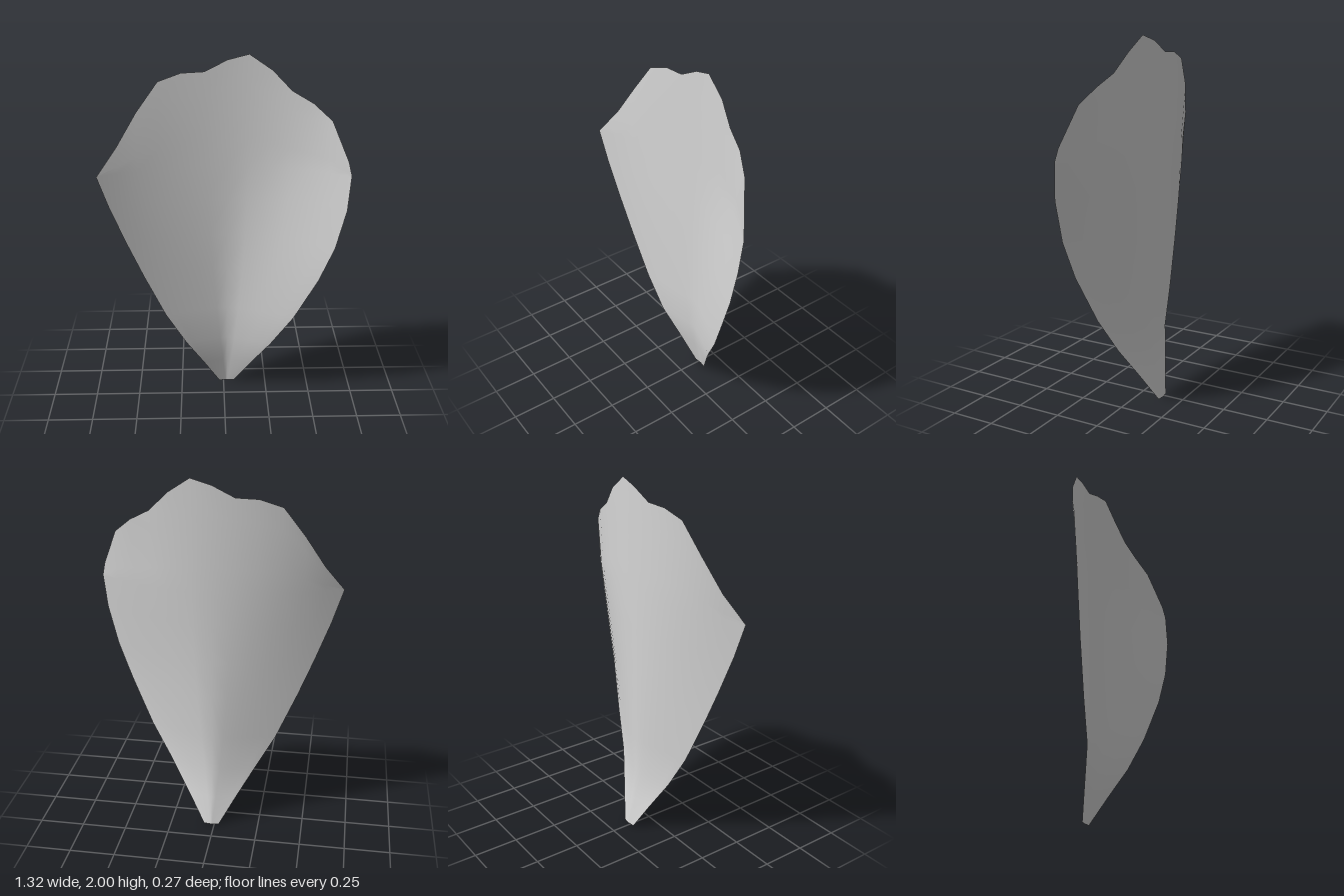
import * as THREE from 'three';

// Upper rim of the petal, left edge to right edge of the blade: x, y, z
const RIM = [
  [-0.663, 1.40, 0.092], [-0.56, 1.54, 0.03], [-0.455, 1.71, -0.02], [-0.34, 1.865, -0.05],
  [-0.22, 1.905, -0.067], [-0.1, 1.91, -0.074], [0.02, 1.97, -0.077], [0.13, 2.0, -0.068],
  [0.25, 1.92, -0.055], [0.35, 1.82, -0.028], [0.46, 1.76, 0.0], [0.555, 1.68, 0.045],
  [0.64, 1.48, 0.107], [0.657, 1.41, 0.12],
];

// Cross-sections from stem to widest row: y, x and z of each side edge, z of the spine,
// and the bend (1 is a straight V, 2 is a rounded cup)
const ROWS = [
  { y: 0.005, left: [-0.025, -0.13], right: [0.06, -0.13], spine: -0.135, bend: 1 },
  { y: 0.17, left: [-0.118, -0.078], right: [0.16, -0.064], spine: -0.106, bend: 1 },
  { y: 0.34, left: [-0.218, -0.022], right: [0.268, 0.006], spine: -0.077, bend: 1.1 },
  { y: 0.54, left: [-0.33, 0.006], right: [0.39, 0.058], spine: -0.076, bend: 1.25 },
  { y: 0.8, left: [-0.443, 0.034], right: [0.513, 0.11], spine: -0.076, bend: 1.4 },
  { y: 1.0, left: [-0.523, 0.055], right: [0.59, 0.13], spine: -0.076, bend: 1.55 },
  { y: 1.22, left: [-0.605, 0.077], right: [0.642, 0.133], spine: -0.076, bend: 1.75 },
  { y: 1.405, left: [-0.663, 0.092], right: [0.657, 0.12], spine: -0.076, bend: 2 },
];

const SPINE_X = 0.02;
const UPPER_STEPS = 4;

// Point on a cross-section, u from -1 (one edge) to 1 (other edge)
function sectionPoint(row, u) {
  const [edgeX, edgeZ] = u < 0 ? row.left : row.right;
  const a = Math.abs(u);
  return [
    SPINE_X + (edgeX - SPINE_X) * a,
    row.y,
    row.spine + (edgeZ - row.spine) * Math.pow(a, row.bend),
  ];
}

function petalGeometry() {
  const columns = RIM.length;
  const halfLeft = SPINE_X - RIM[0][0];
  const halfRight = RIM[columns - 1][0] - SPINE_X;
  const us = RIM.map(([x]) => (x - SPINE_X) / (x < SPINE_X ? halfLeft : halfRight));
  const grid = ROWS.map((row) => us.map((u) => sectionPoint(row, u)));

  // Continue each column from the widest row up to the irregular rim
  const widest = grid[grid.length - 1];
  for (let s = 1; s <= UPPER_STEPS; s++) {
    const t = s / UPPER_STEPS;
    grid.push(RIM.map((tip, i) => tip.map((v, k) => widest[i][k] + (v - widest[i][k]) * t)));
  }

  const index = [];
  for (let r = 0; r < grid.length - 1; r++) {
    for (let c = 0; c < columns - 1; c++) {
      const a = r * columns + c;
      const b = a + 1;
      const d = a + columns;
      index.push(a, b, d + 1, a, d + 1, d);
    }
  }

  const geometry = new THREE.BufferGeometry();
  geometry.setAttribute('position', new THREE.Float32BufferAttribute(grid.flat(2), 3));
  geometry.setIndex(index);
  geometry.computeVertexNormals();
  return geometry;
}

export function createModel() {
  const paleGrey = new THREE.MeshStandardMaterial({ color: 0xd6d6d6, side: THREE.DoubleSide });
  paleGrey.name = 'paleGrey';

  const group = new THREE.Group();
  group.name = 'petalModel';

  // Single thin cupped petal
  const petal = new THREE.Mesh(petalGeometry(), paleGrey);
  petal.name = 'petal';
  group.add(petal);
  return group;
}
